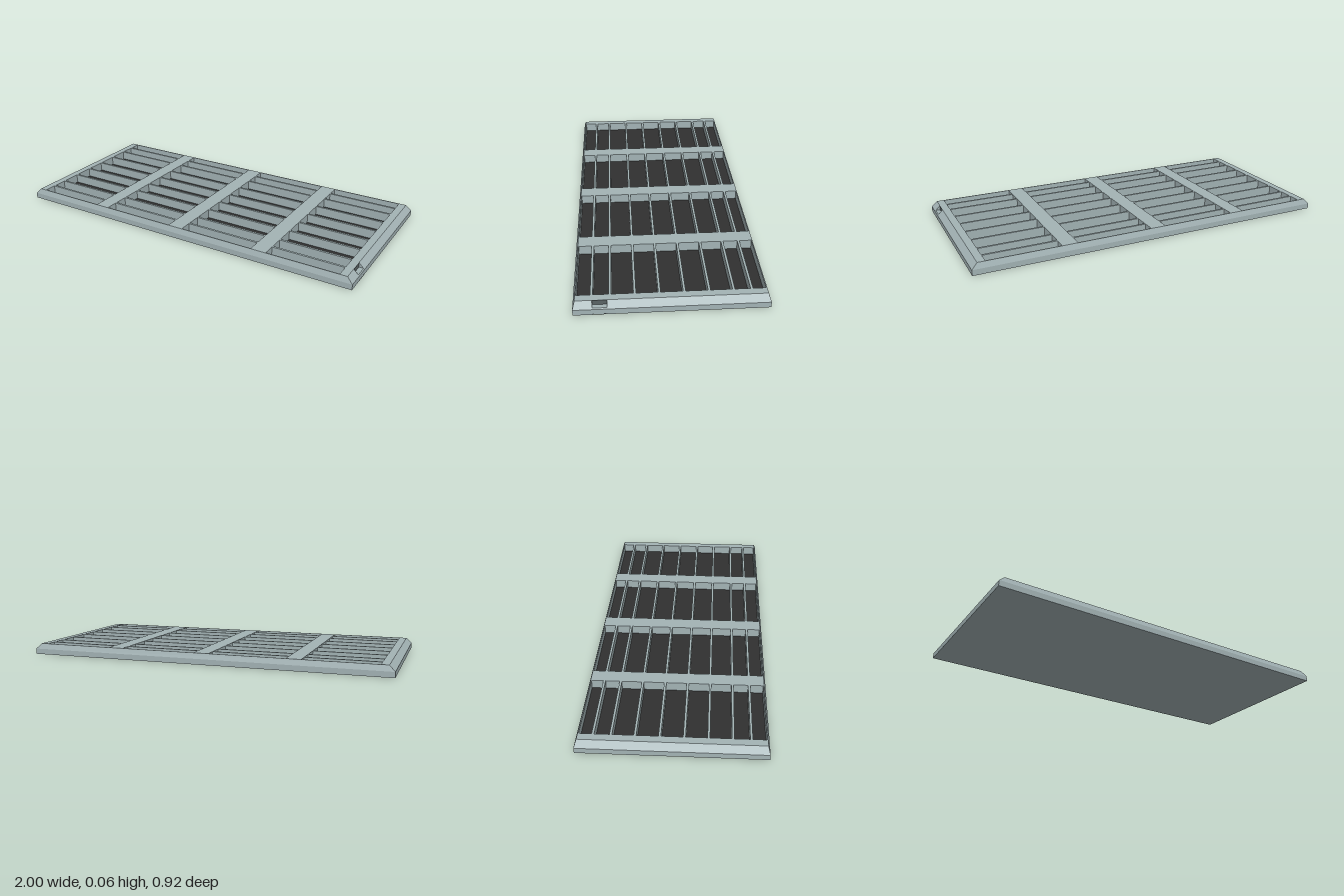
import * as THREE from 'three';

const W = 1, D = 0.46;            // half size at the base
const TW = 0.97, TD = 0.45;       // half size of the top face
const RIM = 0.03, H = 0.06, FLOOR = 0.01;
const NOTCH = [0.37, 0.30], SILL = 0.035, SILL_X = 0.995;

const body = new THREE.MeshStandardMaterial({ color: 0xa3b3b5, flatShading: true });
const dark = new THREE.MeshStandardMaterial({ color: 0x303030 });
const port = new THREE.MeshStandardMaterial({ color: 0x5a6364 });

// Faces given as corner lists, counter-clockwise from outside
function facesGeometry(faces) {
  const pos = [];
  for (const f of faces)
    for (let i = 1; i < f.length - 1; i++) pos.push(...f[0], ...f[i], ...f[i + 1]);
  const g = new THREE.BufferGeometry();
  g.setAttribute('position', new THREE.Float32BufferAttribute(pos, 3));
  g.computeVertexNormals();
  return g;
}

const ring = (x, z, y) => [[-x, y, z], [x, y, z], [x, y, -z], [-x, y, -z]];

export function createModel() {
  const group = new THREE.Group();
  const add = (name, geometry, material) => {
    const m = new THREE.Mesh(geometry, material);
    m.name = name;
    group.add(m);
    return m;
  };

  // Outer shell: underside, upright rim and sloping bevel
  const a = ring(W, D, 0), b = ring(W, D, RIM), c = ring(TW, TD, H);
  const faces = [[a[3], a[2], a[1], a[0]]];
  for (let i = 0; i < 4; i++) {
    const j = (i + 1) % 4;
    faces.push([a[i], a[j], b[j], b[i]]);
    if (i !== 1) faces.push([b[i], b[j], c[j], c[i]]);
  }
  // Left end bevel, interrupted by the connector recess
  const [n0, n1] = NOTCH;
  const low = z => [W, RIM, z], lip = z => [SILL_X, SILL, z];
  const top = z => [TW, H, z], inner = z => [TW, SILL, z];
  faces.push(
    [b[1], low(n0), top(n0), c[1]],
    [low(n1), b[2], c[2], top(n1)],
    [low(n0), low(n1), lip(n1), lip(n0)],
    [lip(n0), lip(n1), inner(n1), inner(n0)],
    [inner(n0), top(n0), lip(n0)],
    [inner(n1), lip(n1), top(n1)]
  );
  add('outerShell', facesGeometry(faces), body);

  // Grille: dividers and slats in one plate with rectangular openings
  const columns = [[-0.93, -0.54], [-0.46, -0.045], [0.04, 0.455], [0.54, 0.93]];
  const slats = [-0.377, -0.292, -0.177, -0.06, 0.057, 0.172, 0.287, 0.373];
  const half = 0.006, edge = 0.445;
  const rect = (T, x0, x1, y0, y1) => {
    const s = new T();
    s.moveTo(x0, y0);
    s.lineTo(x1, y0);
    s.lineTo(x1, y1);
    s.lineTo(x0, y1);
    s.closePath();
    return s;
  };
  const plate = rect(THREE.Shape, -TW, TW, -TD, TD);
  for (const [x0, x1] of columns)
    for (let r = 0; r <= slats.length; r++) {
      const z0 = r === 0 ? -edge : slats[r - 1] + half;
      const z1 = r === slats.length ? edge : slats[r] - half;
      plate.holes.push(rect(THREE.Path, x0, x1, -z1, -z0));
    }
  const grille = new THREE.ExtrudeGeometry(plate, { depth: H - FLOOR, bevelEnabled: false });
  grille.rotateX(-Math.PI / 2);
  grille.translate(0, FLOOR, 0);
  add('grille', grille, body);

  // Dark floor at the bottom of the openings
  const floor = add('floorPanel', new THREE.BoxGeometry(TW * 2, 0.004, TD * 2), dark);
  floor.position.y = FLOOR - 0.001;

  // Back wall of the recess and the thin slot below it
  const mid = (n0 + n1) / 2, len = n0 - n1;
  const wall = add('recessWall', new THREE.BoxGeometry(0.002, H - SILL, len), port);
  wall.position.set(TW, (H + SILL) / 2, mid);
  const slot = add('lowerSlot', new THREE.BoxGeometry(0.002, 0.002, len), dark);
  slot.position.set(W - 0.0005, 0.002, mid);

  return group;
}
